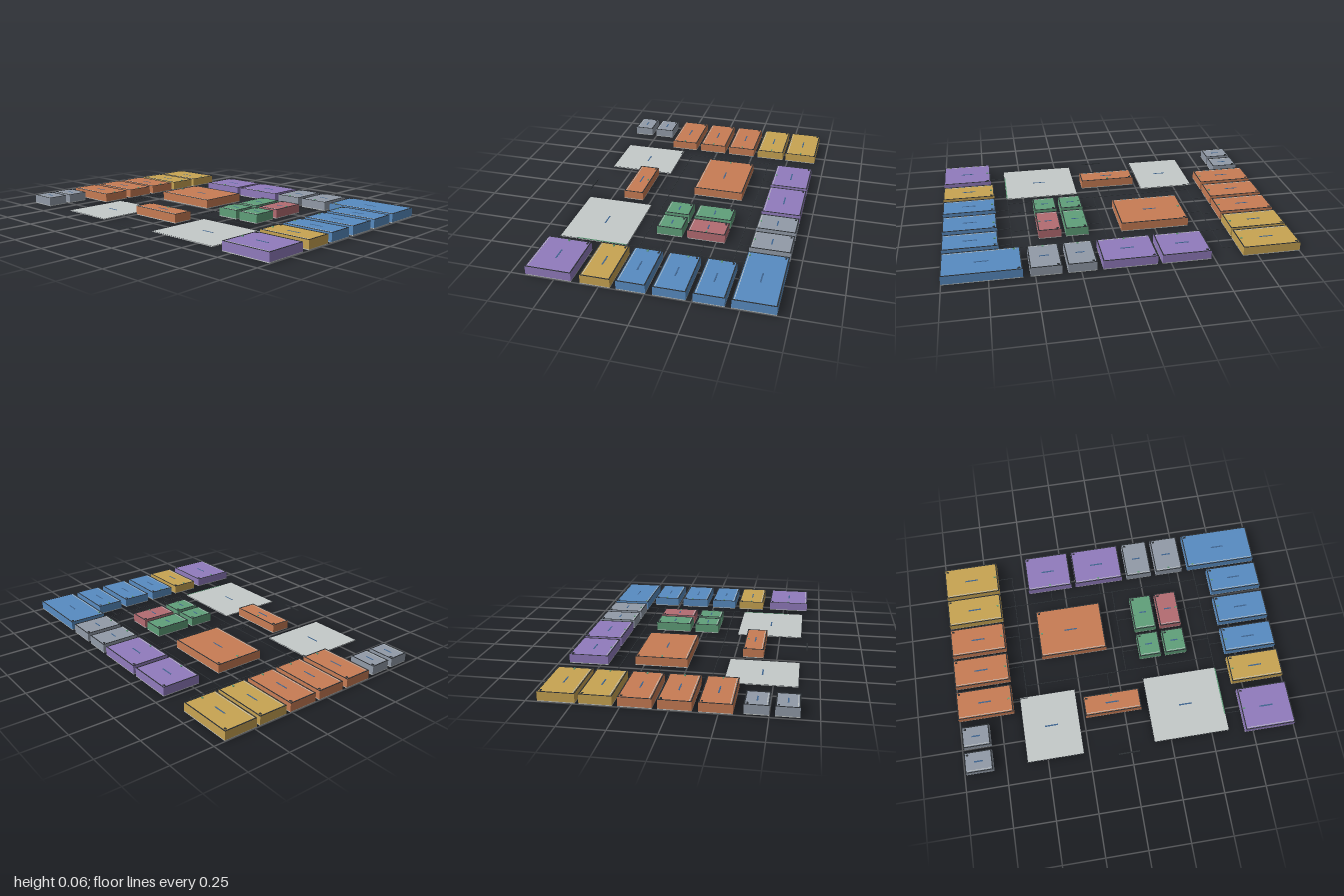
import * as THREE from 'three';

const palette = {
  yellow: 0xc8a452, orange: 0xc87c54, purple: 0x917bbd, slate: 0x929ba8, blue: 0x588cc2,
  green: 0x60a07a, red: 0xb46c72, floor: 0xc5cac9, dark: 0x2b2f33, label: 0x3f6590,
};

// colour, x0, x1, z0, z1 of every room
const rooms = [
  ['yellow', -1, -0.665, -0.685, -0.485],
  ['yellow', -1, -0.665, -0.465, -0.29],
  ['orange', -1, -0.665, -0.262, -0.085],
  ['orange', -1, -0.665, -0.057, 0.118],
  ['orange', -1, -0.665, 0.15, 0.323],
  ['slate', -0.986, -0.823, 0.374, 0.5],
  ['slate', -0.986, -0.823, 0.529, 0.652],
  ['purple', -0.478, -0.2, -0.685, -0.455],
  ['purple', -0.174, 0.131, -0.685, -0.455],
  ['slate', 0.163, 0.323, -0.685, -0.455],
  ['slate', 0.355, 0.527, -0.685, -0.455],
  ['blue', 0.566, 1, -0.685, -0.455],
  ['blue', 0.682, 1, -0.422, -0.257],
  ['blue', 0.682, 1, -0.22, -0.043],
  ['blue', 0.682, 1, -0.005, 0.155],
  ['yellow', 0.682, 1, 0.187, 0.353],
  ['purple', 0.698, 1, 0.403, 0.663],
  ['orange', -0.452, -0.045, -0.3, 0.005],
  ['orange', -0.238, 0.104, 0.3, 0.422],
  ['green', 0.152, 0.286, -0.3, -0.08],
  ['red', 0.313, 0.447, -0.3, -0.08],
  ['green', 0.152, 0.286, -0.048, 0.102],
  ['green', 0.313, 0.447, -0.048, 0.102],
];

// open yards, flat on the ground
const yards = [
  [-0.623, -0.281, 0.23, 0.636],
  [0.147, 0.607, 0.23, 0.636],
];

// main corridors: x0, z0, x1, z1
const corridors = [
  [-0.577, -0.585, -0.577, 0.238],
  [-0.665, -0.383, 0.602, -0.383],
  [0.053, -0.383, 0.053, 0.16],
  [-0.577, 0.16, 0.602, 0.16],
  [0.602, -0.455, 0.602, 0.53],
];

// short links, each ending at a door (second point)
const links = [
  ...[-0.585, -0.383, -0.175, 0.03, 0.238].map(z => [-0.577, z, -0.685, z]),
  ...[-0.337, -0.022, 0.243, 0.44, 0.6].map(x => [x, -0.383, x, -0.473]),
  ...[-0.34, -0.155, 0.075, 0.27].map(z => [0.602, z, 0.7, z]),
  [0.602, 0.53, 0.715, 0.53],
  [-0.577, -0.147, -0.43, -0.147],
  [-0.067, 0.16, -0.067, 0.318],
  [0.053, -0.18, 0.168, -0.18],
  [0.053, 0.035, 0.168, 0.035],
  [0.602, -0.19, 0.432, -0.19],
  [0.602, 0.035, 0.432, 0.035],
];

export function createModel() {
  const model = new THREE.Group();
  model.name = 'floorPlan';

  const mats = {};
  for (const [name, color] of Object.entries(palette)) {
    mats[name] = new THREE.MeshStandardMaterial({ color });
    mats[name].name = name;
  }

  // box given by its extents
  const box = (parent, name, mat, x0, x1, y0, y1, z0, z1) => {
    const mesh = new THREE.Mesh(new THREE.BoxGeometry(x1 - x0, y1 - y0, z1 - z0), mats[mat]);
    mesh.position.set((x0 + x1) / 2, (y0 + y1) / 2, (z0 + z1) / 2);
    mesh.name = name;
    parent.add(mesh);
  };

  // rectangular frame of four strips
  const frame = (parent, name, mat, x0, x1, y0, y1, z0, z1, w) => {
    box(parent, name, mat, x0, x1, y0, y1, z0, z0 + w);
    box(parent, name, mat, x0, x1, y0, y1, z1 - w, z1);
    box(parent, name, mat, x0, x0 + w, y0, y1, z0 + w, z1 - w);
    box(parent, name, mat, x1 - w, x1, y0, y1, z0 + w, z1 - w);
  };

  // small plain name plate in the middle of a surface
  const plate = (parent, x0, x1, y, z0, z1) => {
    const x = (x0 + x1) / 2, z = (z0 + z1) / 2, w = Math.min(0.04, (x1 - x0) * 0.16);
    box(parent, 'namePlate', 'label', x - w, x + w, y, y + 0.001, z - 0.004, z + 0.004);
  };

  const top = 0.056;
  for (const [color, x0, x1, z0, z1] of rooms) {
    const room = new THREE.Group();
    room.name = color + 'Room';
    box(room, 'floorSlab', 'floor', x0, x1, 0.003, 0.007, z0, z1);
    box(room, 'roomBlock', color, x0, x1, 0.007, top, z0, z1);
    frame(room, 'roofTrim', 'dark', x0, x1, top, top + 0.002, z0, z1, 0.006);
    // pale line inside the front trim
    box(room, 'roofLine', 'floor', x0 + 0.01, x1 - 0.01, top, top + 0.001, z1 - 0.014, z1 - 0.011);
    box(room, 'roofBadge', 'dark', x0 + 0.012, x0 + 0.026, top, top + 0.003, z0 + 0.012, z0 + 0.022);
    plate(room, x0, x1, top, z0, z1);
    model.add(room);
  }

  for (const [x0, x1, z0, z1] of yards) {
    box(model, 'yard', 'floor', x0, x1, 0.001, 0.005, z0, z1);
    frame(model, 'yardEdge', 'dark', x0, x1, 0.005, 0.0055, z0, z1, 0.0025);
    plate(model, x0, x1, 0.005, z0, z1);
  }

  // thin path lines on the ground
  const path = (name, mat, [x0, z0, x1, z1], w = 0.002, y = 0.004) =>
    box(model, name, mat, Math.min(x0, x1) - w, Math.max(x0, x1) + w, y, y + 0.002,
      Math.min(z0, z1) - w, Math.max(z0, z1) + w);
  corridors.forEach(c => path('corridor', 'dark', c));
  path('greenRoute', 'green', [0.602, 0.24, 0.602, 0.53], 0.003, 0.0045);
  for (const link of links) {
    path('doorLink', 'dark', link);
    const [, , x, z] = link;
    box(model, 'doorMarker', 'green', x - 0.006, x + 0.006, top, top + 0.005, z - 0.004, z + 0.004);
  }

  // entrance bar in front of the site
  box(model, 'entranceBar', 'dark', -0.078, 0.051, 0, 0.005, 0.67, 0.678);
  return model;
}
